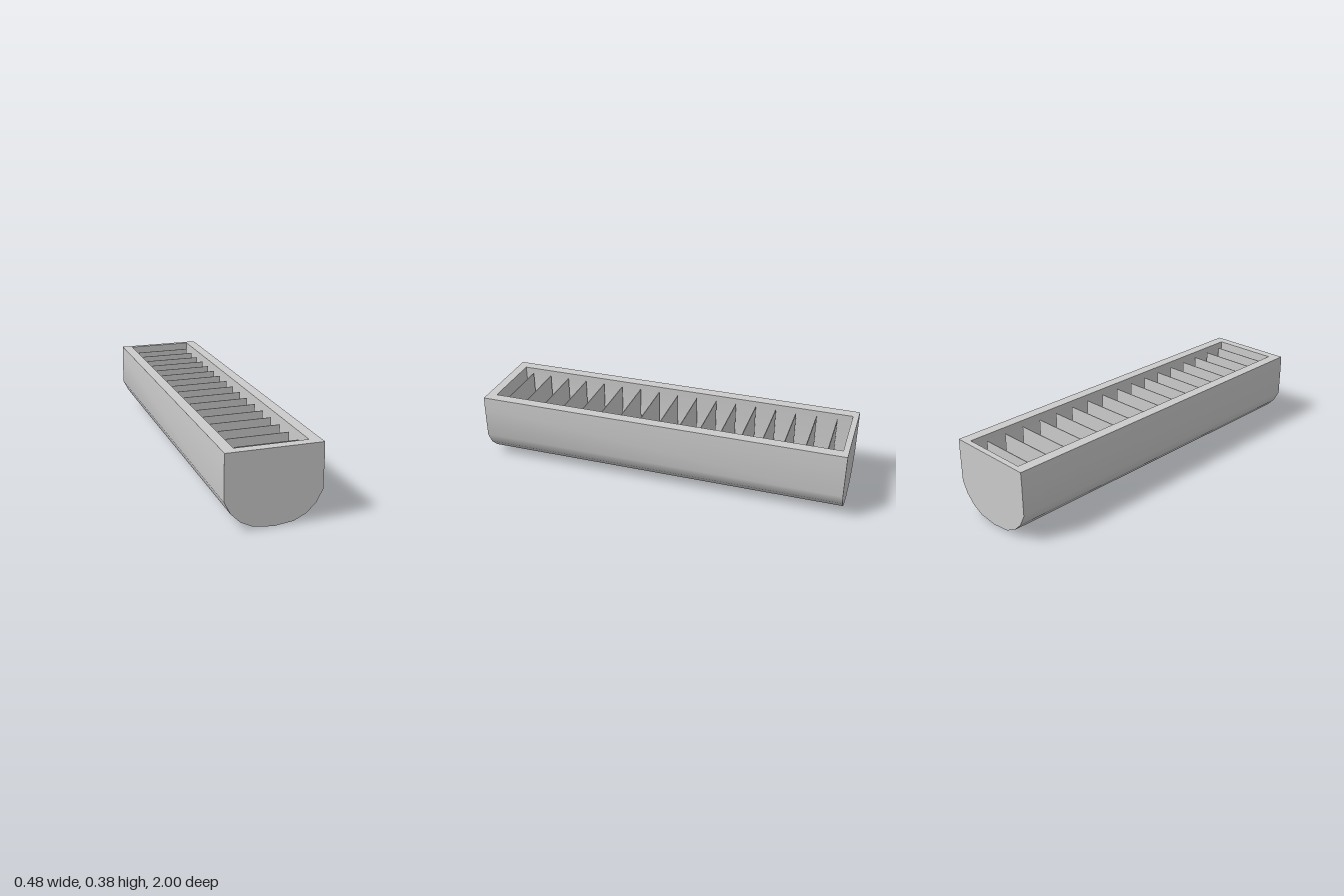
import * as THREE from 'three';

const TOP = 0.385, BACK = -0.97, FRONT = 0.95;
const material = new THREE.MeshStandardMaterial({ color: 0xcccccc });

// Right half of a cross-section, from bottom centre to rim, mirrored into a full U
const mirror = half => [
  ...half.slice(1).reverse().map(([x, y]) => [-x, y]),
  ...half,
];
const outer = mirror([[0, 0], [0.1, 0.012], [0.163, 0.043], [0.21, 0.09], [0.242, 0.152], [0.242, 0.32], [0.24, TOP]]);
const inner = mirror([[0, 0.06], [0.08, 0.068], [0.125, 0.09], [0.16, 0.125], [0.183, 0.17], [0.183, TOP]]);
const finProfile = mirror([[0, 0.06], [0.08, 0.068], [0.125, 0.09], [0.158, 0.125], [0.158, 0.365]]);

const toShape = pts => new THREE.Shape(pts.map(([x, y]) => new THREE.Vector2(x, y)));

// Smooth sheet swept along z from an open profile
function sheet(pts, z0, z1) {
  const pos = [], index = [];
  pts.forEach(([x, y], i) => {
    pos.push(x, y, z0, x, y, z1);
    if (i < pts.length - 1) {
      const a = 2 * i;
      index.push(a, a + 2, a + 3, a, a + 3, a + 1);
    }
  });
  const g = new THREE.BufferGeometry();
  g.setAttribute('position', new THREE.Float32BufferAttribute(pos, 3));
  g.setIndex(index);
  g.computeVertexNormals();
  return g;
}

export function createModel() {
  const model = new THREE.Group();
  const add = (name, geometry, z = 0, turn = 0) => {
    const mesh = new THREE.Mesh(geometry, material);
    mesh.name = name;
    mesh.position.z = z;
    mesh.rotation.y = turn;
    model.add(mesh);
  };

  // Trough shell, outside and inside
  add('outerShell', sheet(outer, -1, 1));
  add('innerShell', sheet([...inner].reverse(), BACK, FRONT));

  // End walls, outside and inside
  const outerEnd = new THREE.ShapeGeometry(toShape(outer));
  const innerEnd = new THREE.ShapeGeometry(toShape(inner));
  add('frontWall', outerEnd, 1);
  add('backWall', outerEnd, -1, Math.PI);
  add('innerBackWall', innerEnd, BACK);
  add('innerFrontWall', innerEnd, FRONT, Math.PI);

  // Flat rim around the opening
  const rect = (w, y0, y1) => [[-w, y0], [w, y0], [w, y1], [-w, y1]];
  const rim = toShape(rect(0.24, -1, 1));
  rim.holes.push(toShape(rect(0.183, -FRONT, -BACK)));
  add('rim', new THREE.ShapeGeometry(rim).rotateX(-Math.PI / 2).translate(0, TOP, 0));

  // Row of thin cross fins
  const fin = new THREE.ExtrudeGeometry(toShape(finProfile), { depth: 0.004, bevelEnabled: false }).translate(0, 0, -0.002);
  for (let i = -8; i <= 8; i++) add(`fin${i + 9}`, fin, i * 0.1115);

  return model;
}
